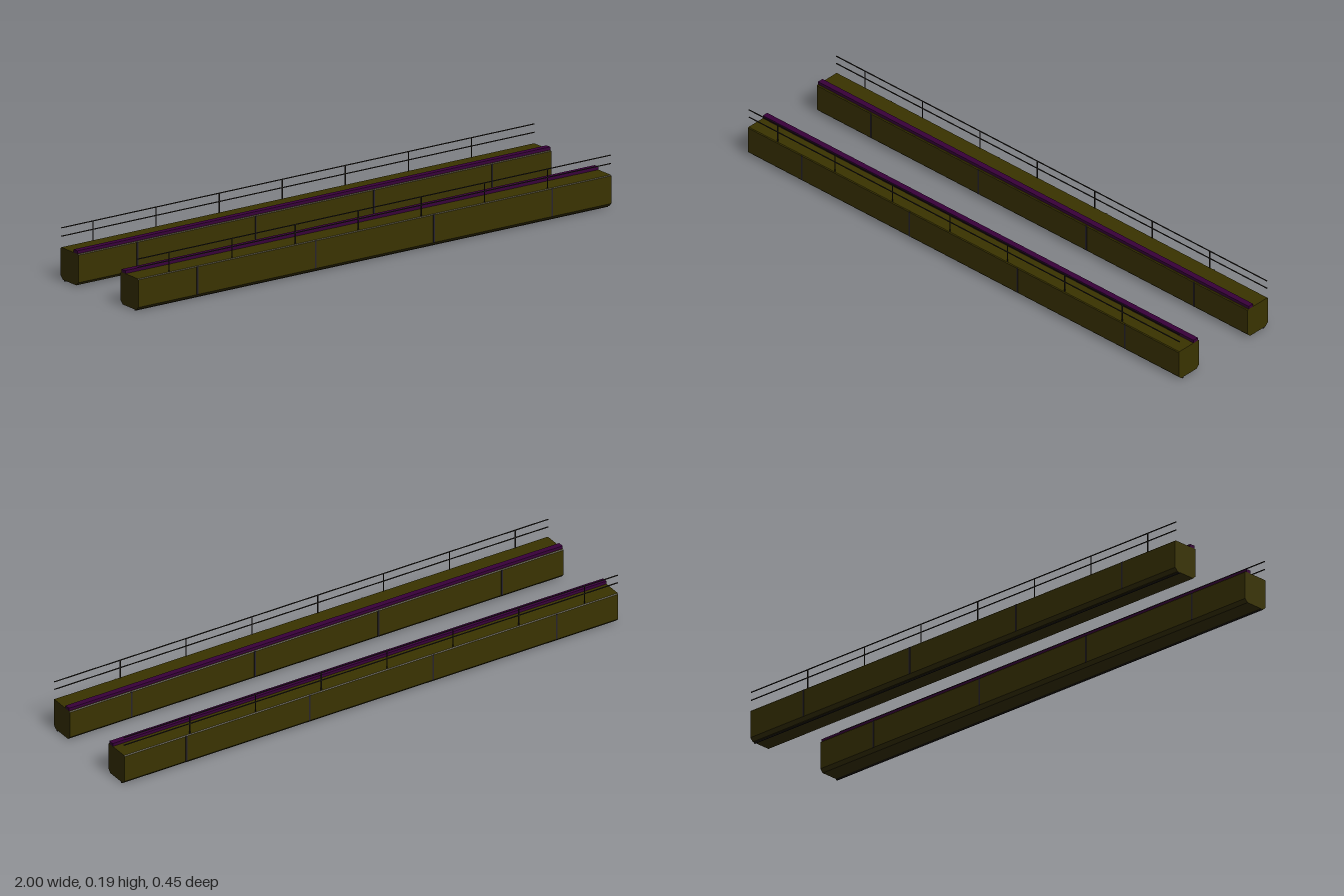
import * as THREE from 'three';

const olive = new THREE.MeshStandardMaterial({ name: 'olive paint', color: 0x3a3300 });
const purple = new THREE.MeshStandardMaterial({ name: 'purple rail', color: 0x38003a });
const dark = new THREE.MeshStandardMaterial({ name: 'dark steel', color: 0x231f1a });
const seamGrey = new THREE.MeshStandardMaterial({ name: 'seam grey', color: 0x28232b });

// Box given by its centre and size
function box(parent, name, material, [x, y, z], [w, h, d]) {
  const mesh = new THREE.Mesh(new THREE.BoxGeometry(w, h, d), material);
  mesh.name = name;
  mesh.position.set(x, y, z);
  parent.add(mesh);
}

// Box girder with chamfered bottom edges; the profile is (z, y), side is +1 or -1
function girder(side) {
  const zIn = 0.1225, zOut = 0.2245, bottom = 0.004, top = 0.118, c = 0.012, t = 0.003;
  const profile = [
    [zIn + c, bottom], [zOut - c, bottom], [zOut, bottom + c], [zOut, top - t],
    [zOut - t, top], [zIn + t, top], [zIn, top - t], [zIn, bottom + c],
  ].map(([z, y]) => new THREE.Vector2(-z * side, y));
  const geometry = new THREE.ExtrudeGeometry(new THREE.Shape(profile), { depth: 2, bevelEnabled: false });
  geometry.translate(0, 0, -1).rotateY(Math.PI / 2);
  const mesh = new THREE.Mesh(geometry, olive);
  mesh.name = 'girder';
  return mesh;
}

function beam(side) {
  const group = new THREE.Group();
  group.name = side > 0 ? 'frontBeam' : 'backBeam';
  group.add(girder(side));

  // Running rail near the inner edge and conduit under the girder
  box(group, 'runningRail', purple, [0, 0.1235, 0.139 * side], [2, 0.011, 0.022]);
  box(group, 'conduit', dark, [0, 0.0025, 0.204 * side], [2, 0.005, 0.005]);

  // Joint strips on both webs
  for (const x of [-0.75, -0.25, 0.25, 0.75])
    for (const z of [0.1225, 0.2245])
      box(group, 'jointStrip', seamGrey, [x, 0.066, z * side], [0.006, 0.1, 0.003]);

  // Handrail along the outer edge
  const z = 0.22 * side;
  for (const y of [0.158, 0.188])
    box(group, 'handrail', dark, [0, y, z], [2, 0.003, 0.003]);
  for (let i = 0; i < 7; i++)
    box(group, 'handrailPost', dark, [-0.8667 + i * 0.2667, 0.153, z], [0.003, 0.07, 0.003]);
  return group;
}

export function createModel() {
  const model = new THREE.Group();
  model.name = 'craneBridgeGirders';
  model.add(beam(1), beam(-1));
  return model;
}
